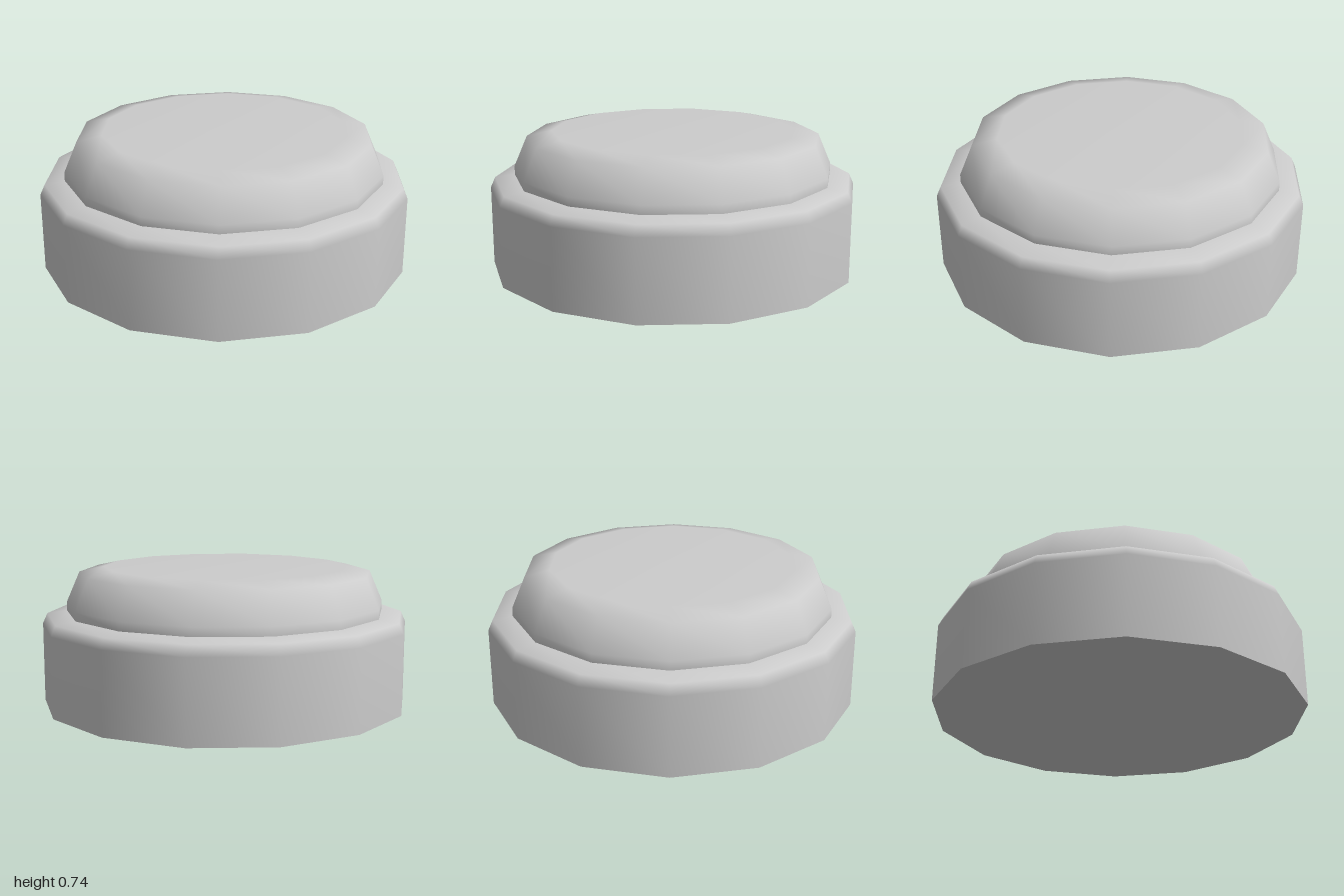
import * as THREE from 'three';

const SIDES = 14;

export function createModel() {
  const group = new THREE.Group();
  group.name = 'pushButton';
  const material = new THREE.MeshStandardMaterial({ color: 0xcccccc });

  const add = (name, geometry) => {
    const mesh = new THREE.Mesh(geometry, material);
    mesh.name = name;
    group.add(mesh);
  };
  // Turned part with a corner on the x axis
  const turned = (profile) => new THREE.LatheGeometry(
    profile.map(([r, y]) => new THREE.Vector2(r, y)), SIDES, Math.PI / 2);

  // Housing wall with rounded shoulder
  add('housing', turned([[1, 0], [1, 0.43], [0.975, 0.485], [0.867, 0.5]]));

  // Flat underside
  add('underside', new THREE.CircleGeometry(1, SIDES).rotateX(Math.PI / 2));

  // Raised cap, tapering to a flat top
  add('cap', turned([[0.867, 0.5], [0.867, 0.547], [0.795, 0.713], [0.66, 0.743], [0, 0.743]]));

  return group;
}
